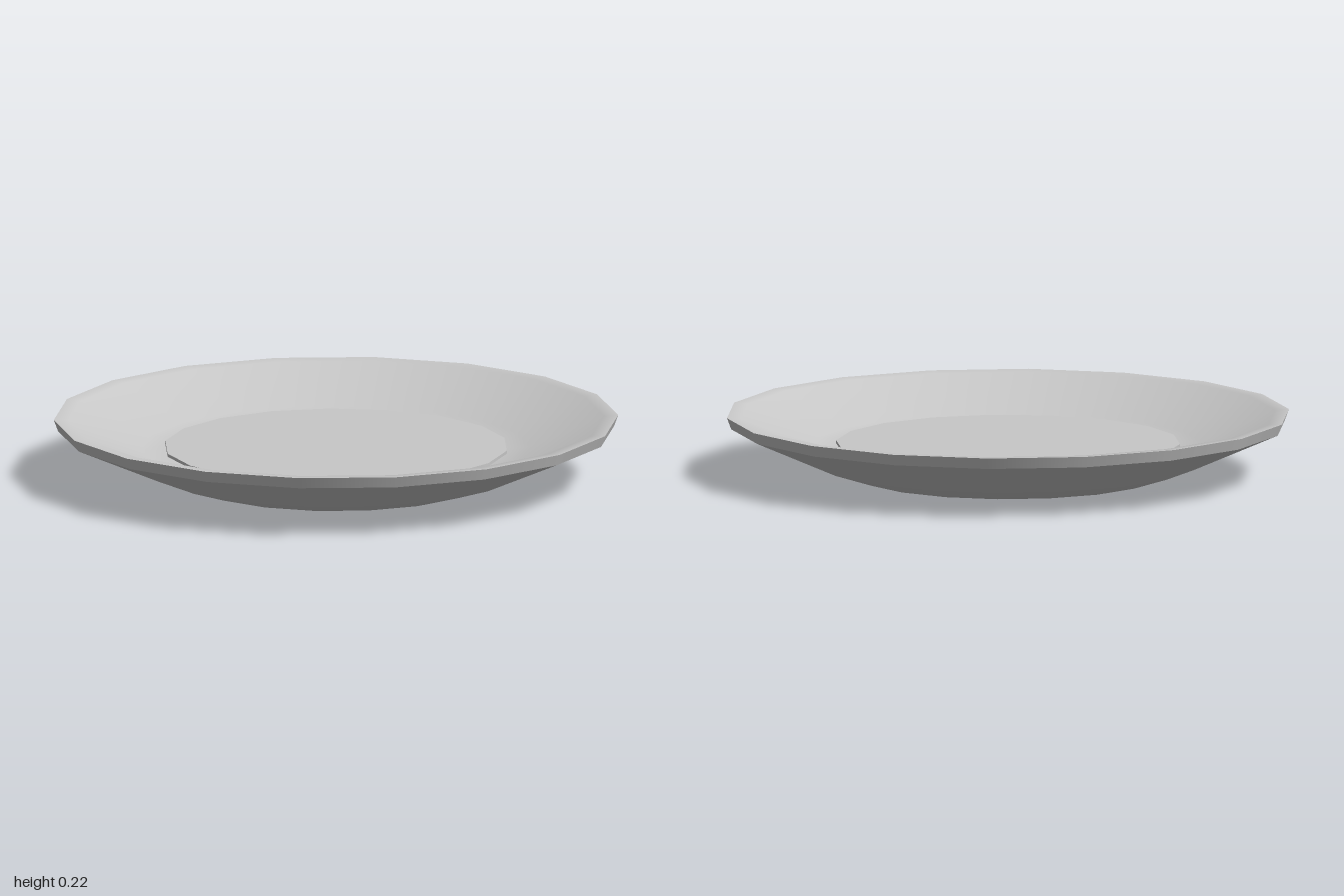
import * as THREE from 'three';

const SIDES = 18;

export function createModel() {
  const group = new THREE.Group();
  group.name = 'plate';
  const grey = new THREE.MeshStandardMaterial({ color: 0xc8c8c8 });
  grey.name = 'plate grey';

  // Each smooth band is its own lathe, so the rim edges between them stay sharp
  function band(name, profile) {
    const points = profile.map(([r, y]) => new THREE.Vector2(r, y));
    const mesh = new THREE.Mesh(new THREE.LatheGeometry(points, SIDES, Math.PI / 2), grey);
    mesh.name = name;
    group.add(mesh);
  }

  // Flat foot curving up to the rim
  band('underside', [[0, 0], [0.54, 0], [0.68, 0.045], [0.985, 0.18]]);
  // Thin flared outer edge
  band('rimEdge', [[0.985, 0.18], [1, 0.22]]);
  // Lip, sloping wall and floor of the bowl
  band('innerSurface', [[1, 0.22], [0.95, 0.217], [0.69, 0.108], [0.54, 0.106], [0, 0.106]]);

  // Raised centre disc, turned half a side against the rim
  const disc = new THREE.Mesh(new THREE.CylinderGeometry(0.61, 0.61, 0.03, SIDES), grey);
  disc.name = 'centreDisc';
  disc.position.y = 0.103;
  group.add(disc);

  return group;
}
